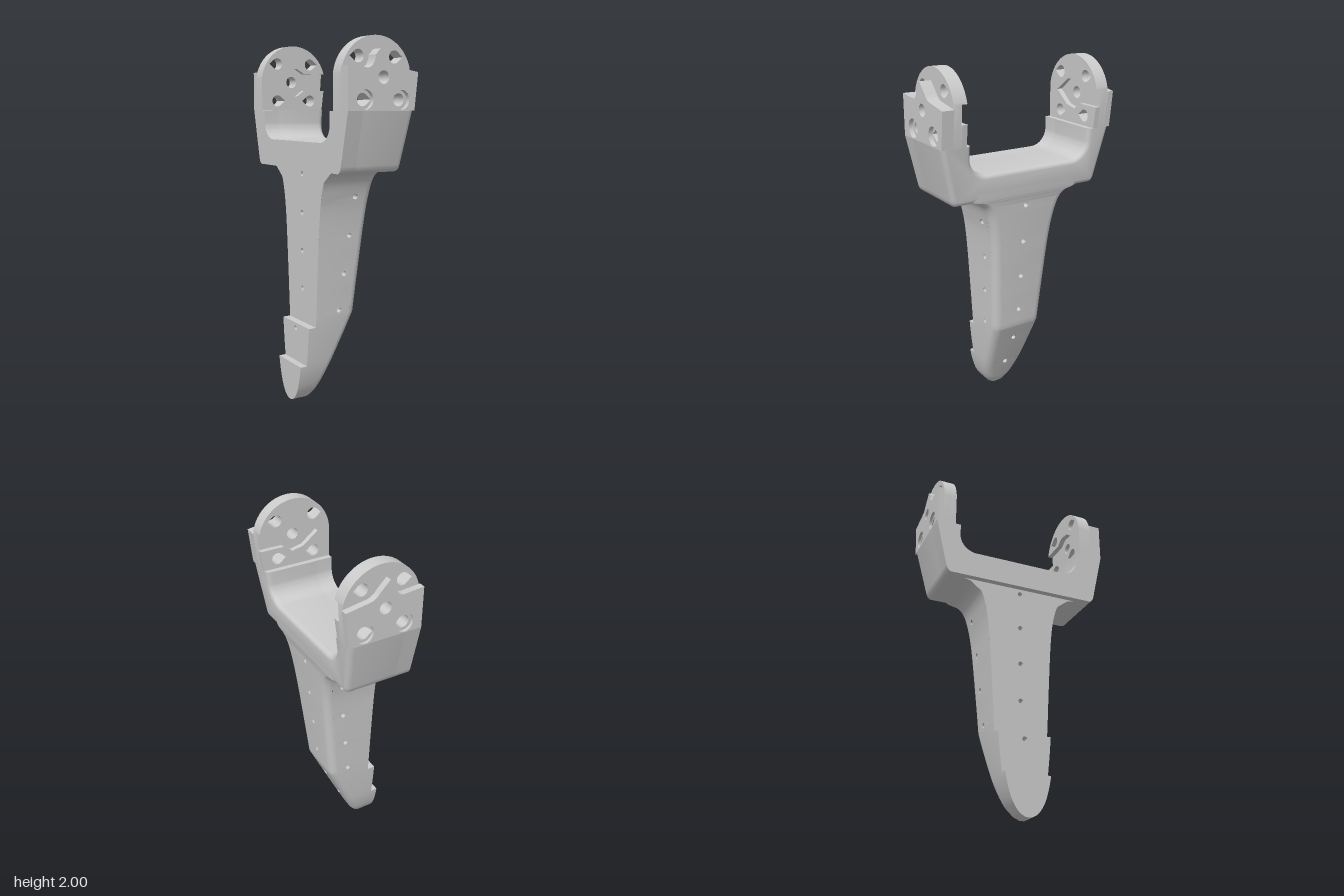
import * as THREE from 'three';
import { mergeGeometries, toCreasedNormals } from 'three/addons/utils/BufferGeometryUtils.js';

const material = new THREE.MeshStandardMaterial({ color: 0xcccccc });
const inside = new THREE.MeshStandardMaterial({ color: 0xcccccc, side: THREE.BackSide });

// Straight-line lookup in a list of [y, value]
function lookup(list, y) {
  let i = 1;
  while (i < list.length - 1 && list[i][0] < y) i++;
  const [y0, v0] = list[i - 1], [y1, v1] = list[i];
  return v0 + (v1 - v0) * (y - y0) / (y1 - y0);
}

// Leg outline: nose edge (+x), stepped rear edge (-x), half width in z
const nose = y => lookup([[0, -0.15], [0.02, -0.125], [0.06, -0.1], [0.5, 0.1], [1.84, 0.235]], y);
const rear = y => (y < 0.22 ? -0.24 : y < 0.44 ? -0.2 : -0.155);
const widths = new THREE.SplineCurve([
  [0.015, 0], [0.05, 0.02], [0.085, 0.07], [0.112, 0.15], [0.13, 0.25], [0.15, 0.45], [0.165, 0.7],
  [0.185, 1], [0.205, 1.15], [0.235, 1.25], [0.28, 1.295], [0.345, 1.314], [0.352, 1.36],
].map(p => new THREE.Vector2(...p))).getPoints(72).map(p => [p.y, p.x]);
const half = y => lookup(widths, y);
const round = y => Math.min(0.045, half(y) * 0.7);
const rows = [...widths.map(p => p[0]), 0.22, 0.44, 0.5].sort((a, b) => a - b)
  .filter((y, i, all) => i === 0 || y - all[i - 1] > 1e-4);

const sideHoles = [[0.06, 1.16], [0.04, 0.945], [0.015, 0.73], [-0.01, 0.522]];
const noseHoles = [1.25, 1.035, 0.82, 0.605, 0.4, 0.198];
const rise = y => (y > 0.5 ? 0.03 : 0.01);
const holeR = 0.014;

function circle(x, y, r, n = 14) {
  const path = new THREE.Path();
  path.setFromPoints(Array.from({ length: n }, (_, i) =>
    new THREE.Vector2(x + r * Math.cos(i / n * 2 * Math.PI), y - r * Math.sin(i / n * 2 * Math.PI))));
  return path;
}

// One face of the leg in bands, pierced where a hole falls; place() bends it into position
function face(lo, hi, holes, place) {
  const parts = [], ys = rows.filter(y => !holes.some(h => Math.abs(h[1] - y) < 0.02));
  for (let i = 1; i < ys.length; i++) {
    const a = ys[i - 1], b = ys[i], m = (a + b) / 2;
    const shape = new THREE.Shape([[lo(a, m), a], [hi(a, m), a], [hi(b, m), b], [lo(b, m), b]]
      .map(p => new THREE.Vector2(...p)));
    holes.filter(h => h[1] > a && h[1] < b).forEach(h => shape.holes.push(circle(h[0], h[1], holeR)));
    const g = new THREE.ShapeGeometry(shape).toNonIndexed(), p = g.attributes.position;
    for (let k = 0; k < p.count; k++) p.setXYZ(k, ...place(p.getX(k), p.getY(k), m));
    parts.push(g);
  }
  return parts;
}

// Level patch closing a ledge or the toe
function level(xa, xb, y, up) {
  const g = new THREE.PlaneGeometry(xb - xa, half(y) * 2);
  return g.rotateX(up ? -Math.PI / 2 : Math.PI / 2).translate((xa + xb) / 2, y, 0).toNonIndexed();
}

function buildLeg() {
  const parts = [];
  for (const s of [1, -1]) {
    // flat flanks
    parts.push(...face((y, m) => s * rear(m), y => s * (nose(y) - round(y)),
      sideHoles.map(h => [s * h[0], h[1]]), (u, y) => [s * u, y, s * half(y)]));
    // rounded nose corners
    const pos = [], n = 6;
    const at = (y, i) => {
      const a = i / n * Math.PI / 2, r = round(y);
      return [nose(y) - r + r * Math.cos(a), y, s * (half(y) - r + r * Math.sin(a))];
    };
    for (let j = 1; j < rows.length; j++) for (let i = 0; i < n; i++) {
      const a = at(rows[j - 1], i), b = at(rows[j], i), c = at(rows[j], i + 1), d = at(rows[j - 1], i + 1);
      pos.push(...(s > 0 ? [a, b, c, a, c, d] : [a, c, b, a, d, c]).flat());
    }
    parts.push(new THREE.BufferGeometry().setAttribute('position', new THREE.Float32BufferAttribute(pos, 3)));
  }
  parts.push(...face(y => round(y) - half(y), y => half(y) - round(y),
    noseHoles.map(y => [0, y]), (u, y) => [nose(y), y, -u]));
  parts.push(...face(y => -half(y), half,
    noseHoles.slice(0, 5).map(y => [0, y + rise(y)]), (u, y, m) => [rear(m), y, u]));
  parts.push(level(-0.24, -0.2, 0.22, true), level(-0.2, -0.155, 0.44, true), level(-0.24, -0.15, 0, false));
  parts.forEach(g => { g.deleteAttribute('uv'); g.deleteAttribute('normal'); });
  return toCreasedNormals(mergeGeometries(parts), 0.5);
}

// U-shaped yoke outline; u runs along -z
function yokeShape() {
  const s = new THREE.Shape();
  s.moveTo(-0.425, 1.31);
  s.lineTo(0.425, 1.31);
  s.quadraticCurveTo(0.448, 1.312, 0.457, 1.35);
  s.lineTo(0.52, 1.625);
  s.lineTo(0.38, 1.625);
  s.lineTo(0.38, 1.56);
  s.absarc(0.28, 1.56, 0.1, 0, -Math.PI / 2, true);
  s.lineTo(-0.25, 1.46);
  s.absarc(-0.25, 1.56, 0.1, -Math.PI / 2, -Math.PI, true);
  s.lineTo(-0.35, 1.625);
  s.lineTo(-0.52, 1.625);
  s.lineTo(-0.457, 1.35);
  s.quadraticCurveTo(-0.448, 1.312, -0.425, 1.31);
  return s;
}

function buildYoke() {
  const slab = new THREE.ExtrudeGeometry(yokeShape(), { depth: 0.09, bevelEnabled: false, curveSegments: 10 });
  slab.translate(0, 0, -0.19);
  const body = new THREE.ExtrudeGeometry(yokeShape(), {
    depth: 0.26, bevelThickness: 0.03, bevelSize: 0.025, bevelOffset: -0.025, bevelSegments: 4, curveSegments: 10,
  });
  body.translate(0, 0, -0.1);
  // lean the front with the nose line and keep the arm tops level
  const p = body.attributes.position;
  for (let i = 0; i < p.count; i++) {
    let y = p.getY(i);
    if (y > 1.585) y = 1.625;
    const t = Math.max(0, (p.getZ(i) + 0.1) / 0.29);
    p.setXYZ(i, p.getX(i), y, p.getZ(i) + t * (nose(y) - 0.19));
  }
  return toCreasedNormals(mergeGeometries([slab, body]).rotateY(Math.PI / 2), 0.5);
}

// Teardrop bolt hole, pointed towards dir along x
function teardrop(x, y, dir) {
  const r = 0.033, path = new THREE.Path(), pts = [];
  for (let i = 0; i <= 14; i++) {
    const a = 0.85 + i / 14 * (2 * Math.PI - 1.7);
    pts.push(new THREE.Vector2(x + dir * r * Math.cos(a), y + r * Math.sin(a)));
  }
  pts.push(new THREE.Vector2(x + dir * 0.05, y));
  return path.setFromPoints(pts);
}
const upperHoles = () => [teardrop(-0.09, 1.895, -1), teardrop(0.13, 1.895, 1)];
const lowerHoles = () => [teardrop(-0.09, 1.68, 1), teardrop(0.13, 1.68, -1)];
const hub = () => circle(0.02, 1.79, 0.033, 20);

// Round-topped plate, optionally with the pointed slot open to +x
function discShape(slot) {
  const s = new THREE.Shape();
  s.moveTo(-0.19, 1.625);
  s.lineTo(nose(1.625), 1.625);
  if (slot) [[0.228, 1.74], [0.09, 1.74], [0.04, 1.705], [-0.03, 1.72], [-0.12, 1.79],
    [-0.03, 1.86], [0.04, 1.87], [0.09, 1.84]].forEach(q => s.lineTo(...q));
  s.absarc(0.022, 1.787, 0.213, 0.25, Math.PI - 0.1, false);
  s.lineTo(-0.19, 1.625);
  s.holes.push(...upperHoles(), ...lowerHoles());
  if (!slot) s.holes.push(hub());
  return s;
}

// Outer plate with a peaked top edge
function peakShape(wide) {
  const s = new THREE.Shape();
  s.moveTo(-0.19, 1.625);
  s.lineTo(nose(1.625), 1.625);
  s.lineTo(0.234, 1.82);
  s.lineTo(0.11, 1.84);
  s.quadraticCurveTo(0.075, 1.845, 0.055, 1.875);
  s.lineTo(0, 1.93);
  s.lineTo(-0.028, 1.9);
  s.quadraticCurveTo(-0.035, 1.835, -0.08, 1.835);
  s.lineTo(-0.19, 1.845);
  s.holes.push(hub(), ...(wide ? [circle(-0.09, 1.68, 0.05, 20), circle(0.13, 1.68, 0.05, 20)] : lowerHoles()));
  return s;
}

export function createModel() {
  const group = new THREE.Group();
  const add = (name, geometry, mat = material) => {
    const mesh = new THREE.Mesh(geometry, mat);
    mesh.name = name;
    group.add(mesh);
  };
  add('leg', buildLeg());
  add('yoke', buildYoke());

  // linings of the small leg holes
  const bore = (a, b) => new THREE.TubeGeometry(new THREE.LineCurve3(a, b), 1, holeR, 14);
  const V = (x, y, z) => new THREE.Vector3(x, y, z);
  add('legHoles', mergeGeometries([
    ...sideHoles.map(([x, y]) => bore(V(x, y, -half(y)), V(x, y, half(y)))),
    ...noseHoles.map((y, i) => bore(V(nose(y), y, 0), V(i < 5 ? rear(y) : -0.22, y + (i < 5 ? rise(y) : 0), 0))),
  ]), inside);

  // mounting plates in layers, inside to outside; the two arms sit at slightly different depths
  for (const [side, z] of [[1, [0.38, 0.41, 0.455, 0.495, 0.52]], [-1, [0.41, 0.44, 0.485, 0.505, 0.52]]]) {
    const shapes = [discShape(true), discShape(false), peakShape(false), peakShape(true)];
    const names = ['slottedPlate', 'discPlate', 'peakPlate', 'counterborePlate'];
    shapes.forEach((shape, i) => {
      const g = new THREE.ExtrudeGeometry(shape, { depth: z[i + 1] - z[i], bevelEnabled: false, curveSegments: 32 });
      add(names[i], toCreasedNormals(g.translate(0, 0, side > 0 ? z[i] : -z[i + 1]), 0.5));
    });
  }
  return group;
}
